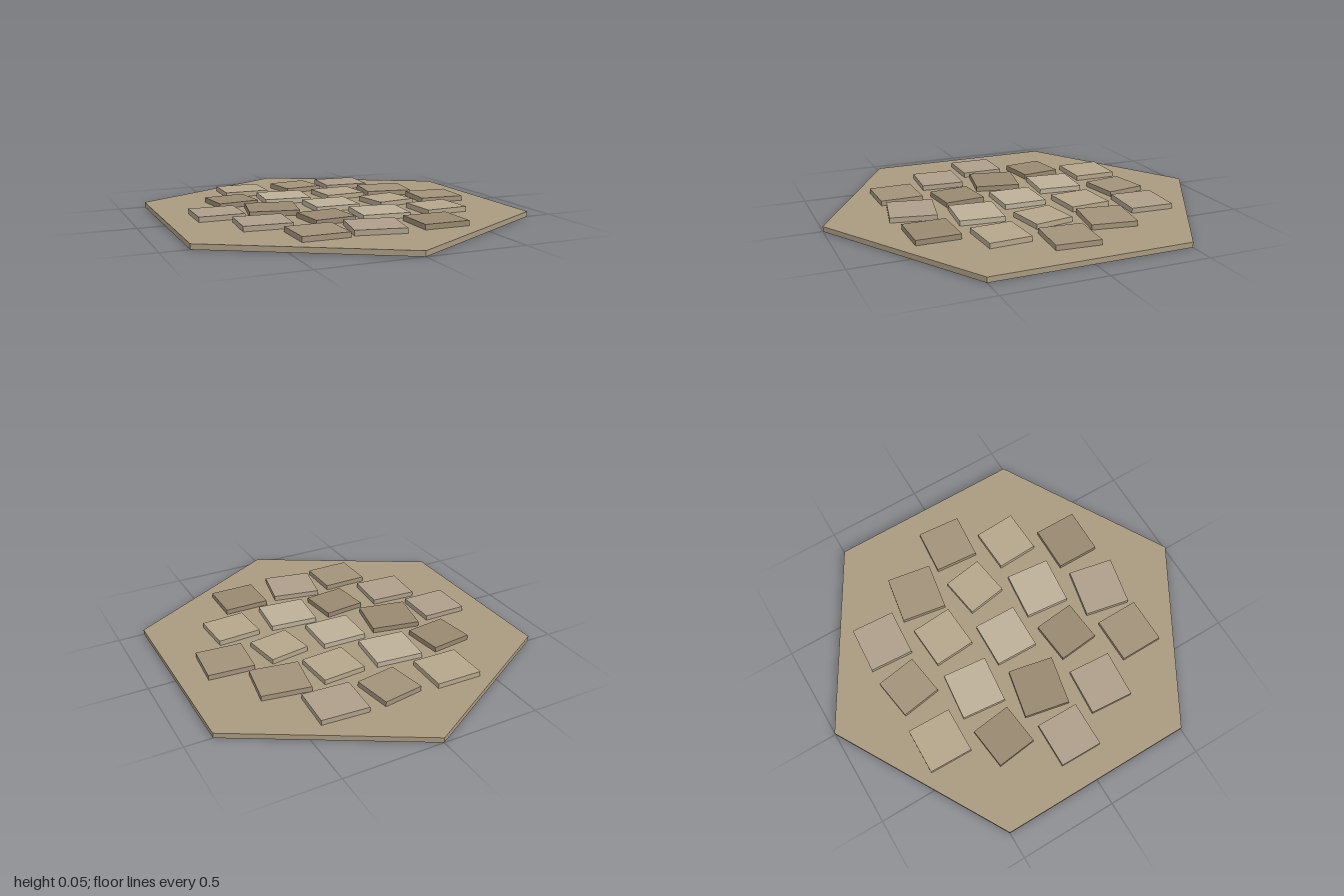
import * as THREE from 'three';

const BASE_HEIGHT = 0.026;
const STONE_HEIGHT = 0.026;

const material = (color) => new THREE.MeshStandardMaterial({ color, flatShading: true });

export function createModel() {
  const group = new THREE.Group();
  group.name = 'pavedHexTile';

  // Hexagonal ground slab with points toward front and back
  const slab = new THREE.Mesh(new THREE.CylinderGeometry(1, 1, BASE_HEIGHT, 6), material(0xa89a80));
  slab.name = 'groundSlab';
  slab.position.y = BASE_HEIGHT / 2;
  group.add(slab);

  // Stone tones
  const tones = {
    dark: material(0x988870),
    mid: material(0xa2927a),
    grey: material(0xae9f8b),
    warm: material(0xb5a68c),
    light: material(0xbdb098),
  };

  // Paving stones by row: x, width, depth, turn, tone
  const rows = [
    { z: -0.568, stones: [
      [-0.307, 0.234, 0.224, -0.02, 'warm'],
      [0.015, 0.212, 0.207, 0.155, 'mid'],
      [0.3, 0.24, 0.223, -0.06, 'grey']] },
    { z: -0.286, stones: [
      [-0.45, 0.215, 0.207, 0.12, 'dark'],
      [-0.16, 0.243, 0.227, -0.1, 'light'],
      [0.161, 0.223, 0.212, 0.07, 'warm'],
      [0.445, 0.245, 0.23, -0.16, 'mid']] },
    { z: -0.004, stones: [
      [-0.61, 0.23, 0.218, -0.01, 'grey'],
      [-0.323, 0.25, 0.232, -0.2, 'dark'],
      [0, 0.234, 0.22, -0.02, 'light'],
      [0.32, 0.208, 0.204, 0.155, 'warm'],
      [0.61, 0.233, 0.223, -0.08, 'mid']] },
    { z: 0.275, stones: [
      [-0.465, 0.239, 0.221, -0.07, 'grey'],
      [-0.143, 0.212, 0.208, 0.1, 'dark'],
      [0.143, 0.244, 0.226, -0.1, 'light'],
      [0.465, 0.223, 0.212, 0.05, 'warm']] },
    { z: 0.557, stones: [
      [-0.304, 0.232, 0.22, 0.01, 'mid'],
      [-0.018, 0.248, 0.232, -0.2, 'grey'],
      [0.302, 0.233, 0.22, -0.005, 'dark']] },
  ];

  rows.forEach(({ z, stones }, row) => {
    stones.forEach(([x, width, depth, turn, tone], i) => {
      const stone = new THREE.Mesh(new THREE.BoxGeometry(width, STONE_HEIGHT, depth), tones[tone]);
      stone.name = `pavingStone${row + 1}_${i + 1}`;
      stone.position.set(x, BASE_HEIGHT + STONE_HEIGHT / 2, z);
      stone.rotation.y = turn;
      group.add(stone);
    });
  });

  return group;
}
